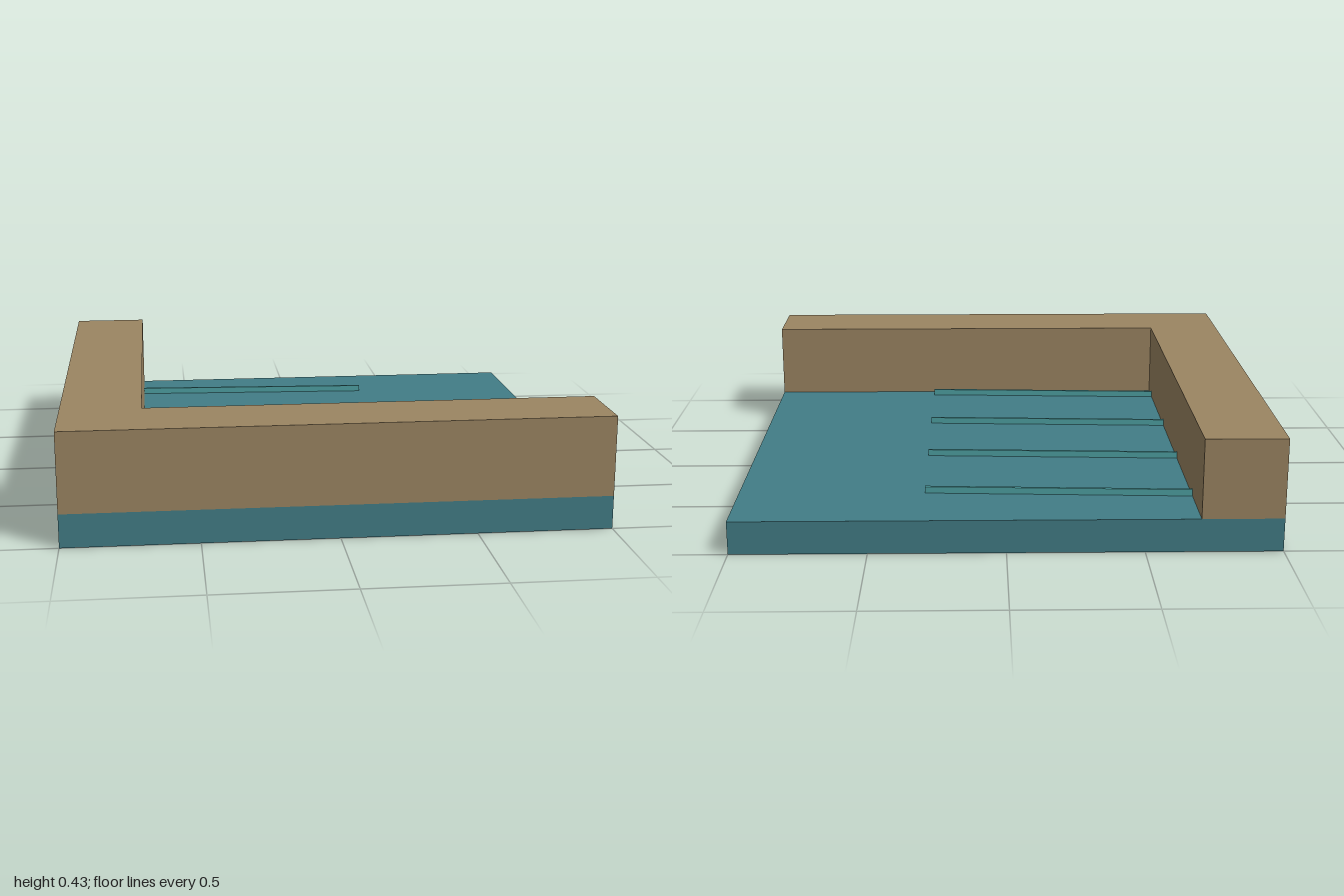
import * as THREE from 'three';

const waterTop = 0.125, curbTop = 0.425;

export function createModel() {
  const model = new THREE.Group();
  model.name = 'waterCorner';
  const water = new THREE.MeshStandardMaterial({ name: 'teal water', color: 0x427d86 });
  const stone = new THREE.MeshStandardMaterial({ name: 'tan stone', color: 0x9b8562 });
  const foam = new THREE.MeshStandardMaterial({ name: 'light teal ripple', color: 0x4fa3a5 });

  const add = (name, geometry, material) => {
    const mesh = new THREE.Mesh(geometry, material);
    mesh.name = name;
    model.add(mesh);
    return mesh;
  };

  // Square slab of water
  add('waterSlab', new THREE.BoxGeometry(2, waterTop, 2).translate(0, waterTop / 2, 0), water);

  // L-shaped curb along the right and front edges (shape y becomes -z)
  const outline = [[-1, -1], [1, -1], [1, -0.7], [-0.7, -0.7], [-0.7, 1], [-1, 1]];
  const shape = new THREE.Shape(outline.map(([x, y]) => new THREE.Vector2(x, y)));
  const curb = new THREE.ExtrudeGeometry(shape, { depth: curbTop - waterTop, bevelEnabled: false });
  add('cornerCurb', curb.rotateX(-Math.PI / 2).translate(0, waterTop, 0), stone);

  // Four slightly slanted ripples running out from the curb
  const slant = Math.atan(0.05);
  for (let i = 0; i < 4; i++) {
    const ripple = add('ripple' + (i + 1), new THREE.BoxGeometry(1.003, 0.03, 0.012), foam);
    ripple.position.set(-0.2, waterTop + 0.01, -0.725 + i * 0.45);
    ripple.rotation.y = -slant;
  }
  return model;
}
